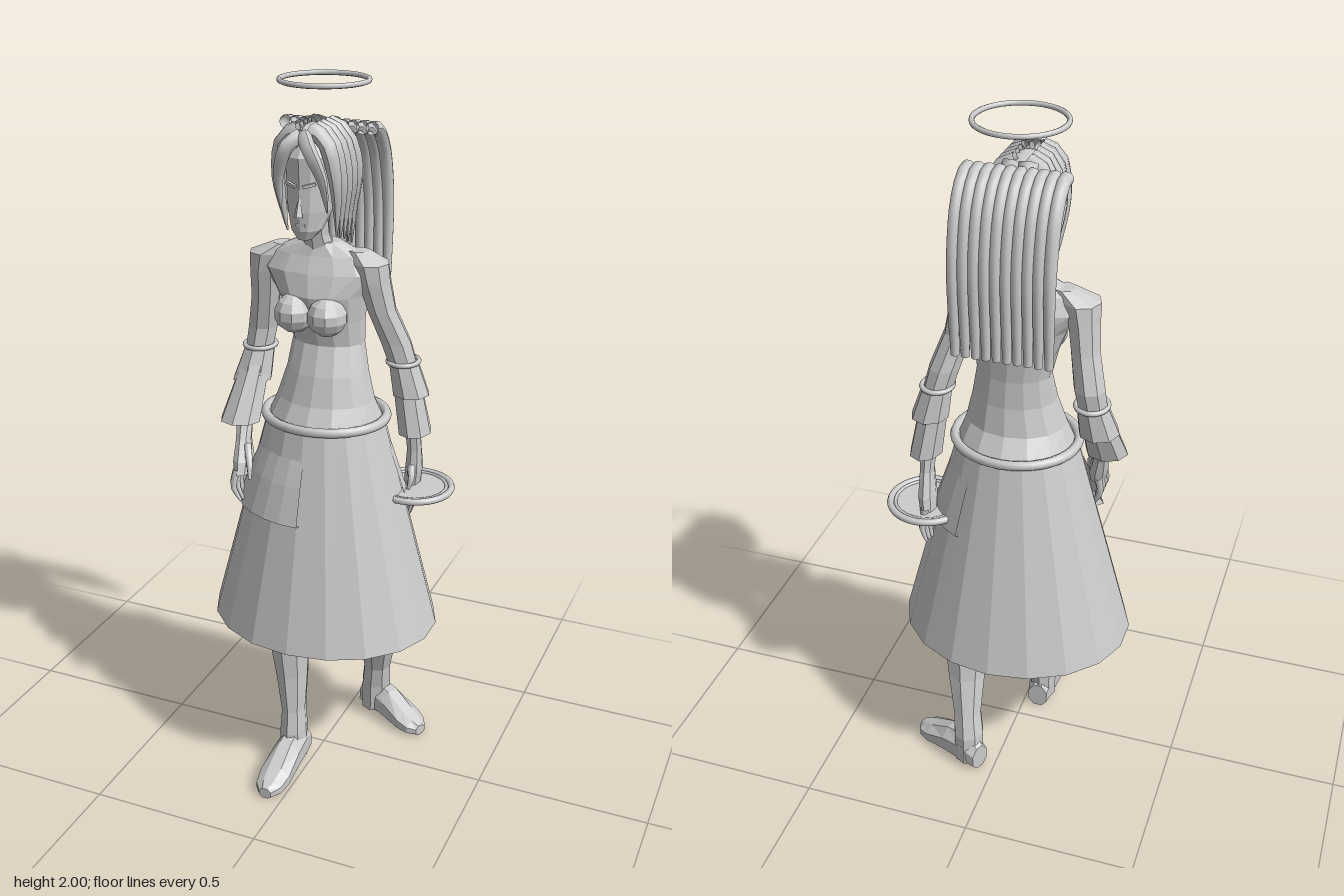
import * as THREE from 'three';

const stone = new THREE.MeshStandardMaterial({ color: 0xcccccc, side: THREE.DoubleSide });
stone.name = 'plain grey';

const V = (p) => new THREE.Vector3(...p);

function add(parent, name, geo) {
  const mesh = new THREE.Mesh(geo, stone);
  mesh.name = name;
  parent.add(mesh);
  return mesh;
}

function facet(geo) {
  const flat = geo.index ? geo.toNonIndexed() : geo;
  flat.computeVertexNormals();
  return flat;
}

// Faceted skin over level elliptical rings [x, y, z, radiusX, radiusZ]
function loft(rings, sides = 10, { cap = true, from = -90, to = 270 } = {}) {
  const rows = rings[0][1] > rings[rings.length - 1][1] ? [...rings].reverse() : rings;
  const pos = [], idx = [], w = sides + 1;
  const put = cap ? [[...rows[0].slice(0, 3), 0, 0], ...rows, [...rows[rows.length - 1].slice(0, 3), 0, 0]] : rows;
  put.forEach(([x, y, z, rx, rz], i) => {
    for (let j = 0; j <= sides; j++) {
      const a = THREE.MathUtils.degToRad(from + (to - from) * j / sides);
      pos.push(x + rx * Math.cos(a), y, z + rz * Math.sin(a));
      if (i && j) {
        const d = i * w + j, c = d - 1, b = d - w, e = b - 1;
        idx.push(e, c, b, b, c, d);
      }
    }
  });
  const geo = new THREE.BufferGeometry();
  geo.setAttribute('position', new THREE.Float32BufferAttribute(pos, 3));
  geo.setIndex(idx);
  return facet(geo);
}

// Rounded strand along a curve, narrowing from r to r * tip
function strand(points, r, tip = 0.1, sides = 7, steps = 10) {
  const curve = new THREE.CatmullRomCurve3(points.map(V));
  const geo = new THREE.TubeGeometry(curve, steps, r, sides);
  const p = geo.attributes.position, v = new THREE.Vector3();
  for (let i = 0; i < p.count; i++) {
    const t = Math.floor(i / (sides + 1)) / steps;
    const c = curve.getPointAt(t);
    v.fromBufferAttribute(p, i).sub(c).multiplyScalar(1 + (tip - 1) * t * t).add(c);
    p.setXYZ(i, v.x, v.y, v.z);
  }
  geo.computeVertexNormals();
  return geo;
}

function ring(parent, name, x, y, z, rx, rz, tube) {
  const geo = new THREE.TorusGeometry(1, tube / rx, 8, 36);
  geo.rotateX(Math.PI / 2).scale(rx, rx, rz);
  add(parent, name, geo).position.set(x, y, z);
}

// Skirt ring at height y, pushed out by extra
function skirtRing(y, extra = 0) {
  const t = (1.08 - y) / 0.63;
  return [-0.012, y, -0.04, 0.168 + 0.168 * t + extra, 0.152 + 0.133 * t + extra];
}

function buildHead(g) {
  const head = new THREE.Group();
  head.name = 'head';
  g.add(head);
  add(head, 'neck', loft([[-0.03, 1.55, -0.045, 0.05, 0.045], [-0.03, 1.6, -0.025, 0.035, 0.037], [-0.03, 1.67, -0.01, 0.035, 0.04]], 8));
  add(head, 'face', loft([
    [-0.03, 1.605, 0.055, 0.02, 0.02], [-0.03, 1.63, 0.04, 0.042, 0.045], [-0.03, 1.68, 0.012, 0.058, 0.078],
    [-0.03, 1.74, 0.002, 0.064, 0.088], [-0.03, 1.82, 0, 0.068, 0.095], [-0.03, 1.87, -0.01, 0.05, 0.075]], 14));
  const nose = add(head, 'nose', facet(new THREE.ConeGeometry(0.013, 0.06, 4)));
  nose.position.set(-0.03, 1.7, 0.093);
  nose.rotation.x = -0.15;
  add(head, 'mouth', new THREE.BoxGeometry(0.026, 0.007, 0.009)).position.set(-0.03, 1.647, 0.082);
  for (const s of [-1, 1]) {
    const brow = add(head, 'brow', new THREE.BoxGeometry(0.034, 0.008, 0.009));
    brow.position.set(-0.03 + s * 0.026, 1.752, 0.086);
    brow.rotation.set(0, s * 0.35, s * 0.25);
  }

  // Hair crown and swept locks on both sides
  const crown = new THREE.SphereGeometry(1, 14, 8, 0, Math.PI * 2, 0, Math.PI * 0.55);
  crown.scale(0.08, 0.105, 0.105).rotateX(-0.45);
  add(head, 'hairCrown', facet(crown)).position.set(-0.03, 1.79, -0.015);
  for (const s of [-1, 1]) {
    const lock = (pts, r) => add(head, 'hairLock', strand(pts.map(([x, y, z]) => [-0.03 + s * x, y, z]), r));
    lock([[0.005, 1.875, 0.07], [0.03, 1.85, 0.1], [0.06, 1.77, 0.085], [0.065, 1.68, 0.06]], 0.02);
    for (let i = 0; i < 5; i++) {
      const k = i / 4;
      lock([[0.015, 1.885, 0.05 - 0.11 * k], [0.055, 1.865, 0.055 - 0.125 * k], [0.079, 1.77, 0.045 - 0.145 * k],
        [0.075 - 0.015 * k, 1.66 - 0.01 * k, 0.02 - 0.15 * k], [0.07 - 0.02 * k, 1.61 - 0.06 * k, 0.01 - 0.155 * k]], 0.023);
    }
    lock([[0.02, 1.88, -0.07], [0.025, 1.83, -0.115], [0.025, 1.7, -0.135], [0.02, 1.57, -0.14]], 0.03);
  }

  // Wide fall of parallel strands behind the head
  for (let i = 0; i < 10; i++) {
    const x = -0.154 + i * 0.0275;
    add(head, 'ponytailStrand', strand([[x, 1.872, -0.1], [x, 1.865, -0.14], [x, 1.81, -0.19], [x, 1.73, -0.218],
      [x, 1.64, -0.232], [x, 1.53, -0.232], [x, 1.42, -0.228]], 0.018, 0.65, 10, 16));
  }
  ring(head, 'halo', -0.03, 1.993, -0.073, 0.117, 0.117, 0.007);
}

function buildArm(g, name, sleeve, upperCuff, lowerCuff, hand, fingers) {
  const arm = new THREE.Group();
  arm.name = name;
  g.add(arm);
  add(arm, 'sleeve', loft(sleeve, 8));
  add(arm, 'upperCuff', loft(upperCuff, 8, { cap: false }));
  add(arm, 'lowerCuff', loft(lowerCuff, 8, { cap: false }));
  const [cx, cy, cz, rx, rz] = upperCuff[0];
  ring(arm, 'cuffBand', cx, cy, cz, rx, rz, 0.007);
  add(arm, 'hand', loft(hand, 8));
  fingers.forEach((f) => add(arm, 'finger', strand(f, 0.0115, 0.4, 6, 5)));
}

function buildLeg(g, name, leg, foot, x, z, turn) {
  const group = new THREE.Group();
  group.name = name;
  g.add(group);
  add(group, 'leg', loft(leg, 8));
  // Foot rings run heel to toe, then are laid forward and flattened on the ground
  const geo = loft(foot.map(([along, w, h]) => [0, along, -h / 2, w, h * 0.62]), 8, { from: -67.5, to: 292.5 });
  geo.rotateX(Math.PI / 2);
  const p = geo.attributes.position;
  for (let i = 0; i < p.count; i++) p.setY(i, Math.max(0, p.getY(i)));
  geo.computeVertexNormals();
  const shoe = add(group, 'foot', geo);
  shoe.position.set(x, 0, z);
  shoe.rotation.y = turn;
}

export function createModel() {
  const g = new THREE.Group();
  g.name = 'haloedWoman';

  // Skirt, with raised folds on the front right and back left
  add(g, 'skirt', loft([skirtRing(1.08), skirtRing(0.45)], 18, { cap: false }));
  add(g, 'skirtHem', loft([skirtRing(0.45), skirtRing(0.46, -0.008)], 18, { cap: false }));
  add(g, 'frontFold', loft([skirtRing(1.0), skirtRing(0.93, 0.012), skirtRing(0.825, 0.022), skirtRing(0.82)], 5, { cap: false, from: 88, to: 150 }));
  add(g, 'backFold', loft([skirtRing(1.0), skirtRing(0.84, 0.012), skirtRing(0.835)], 4, { cap: false, from: -60, to: -5 }));
  ring(g, 'belt', -0.01, 1.085, -0.04, 0.172, 0.155, 0.014);

  // Torso
  add(g, 'torso', loft([
    [-0.01, 1.08, -0.04, 0.165, 0.15], [-0.008, 1.14, -0.035, 0.14, 0.112], [-0.005, 1.22, -0.04, 0.117, 0.093],
    [-0.008, 1.3, -0.055, 0.103, 0.075], [-0.015, 1.37, -0.05, 0.112, 0.085], [-0.025, 1.44, -0.045, 0.13, 0.095],
    [-0.035, 1.5, -0.05, 0.165, 0.08], [-0.035, 1.545, -0.05, 0.14, 0.058], [-0.03, 1.58, -0.045, 0.06, 0.042]], 14));
  for (const s of [-1, 1]) {
    const bust = add(g, 'bust', facet(new THREE.SphereGeometry(1, 10, 7)));
    bust.scale.set(0.056, 0.055, 0.062);
    bust.position.set(-0.027 + s * 0.048, 1.39, 0.025);
  }
  buildHead(g);

  buildArm(g, 'rightArm',
    [[-0.14, 1.56, -0.05, 0.03, 0.03], [-0.185, 1.53, -0.05, 0.054, 0.055], [-0.195, 1.48, -0.055, 0.044, 0.055],
      [-0.205, 1.4, -0.07, 0.04, 0.048], [-0.224, 1.3, -0.09, 0.043, 0.047], [-0.235, 1.22, -0.078, 0.04, 0.044]],
    [[-0.23, 1.245, -0.08, 0.043, 0.048], [-0.245, 1.15, -0.055, 0.057, 0.062]],
    [[-0.235, 1.2, -0.06, 0.042, 0.045], [-0.252, 1.045, 0.015, 0.06, 0.055]],
    [[-0.238, 1.16, -0.04, 0.028, 0.03], [-0.235, 1.05, 0.02, 0.024, 0.025], [-0.228, 1.0, 0.045, 0.022, 0.028],
      [-0.218, 0.95, 0.068, 0.028, 0.04], [-0.215, 0.915, 0.08, 0.024, 0.04]],
    [...[0, 1, 2, 3].map((i) => [[-0.222, 0.93, 0.045 + i * 0.021], [-0.228, 0.88, 0.052 + i * 0.022], [-0.205, 0.825 + i * 0.006, 0.06 + i * 0.02]]),
      [[-0.21, 0.99, 0.06], [-0.185, 0.95, 0.1], [-0.178, 0.91, 0.115]]]);

  buildArm(g, 'leftArm',
    [[0.08, 1.56, -0.05, 0.03, 0.03], [0.115, 1.53, -0.05, 0.05, 0.055], [0.125, 1.48, -0.055, 0.044, 0.055],
      [0.142, 1.4, -0.065, 0.04, 0.047], [0.175, 1.3, -0.095, 0.043, 0.047], [0.197, 1.22, -0.108, 0.04, 0.045]],
    [[0.193, 1.245, -0.105, 0.042, 0.047], [0.215, 1.15, -0.112, 0.053, 0.056]],
    [[0.2, 1.2, -0.11, 0.04, 0.044], [0.228, 1.035, -0.118, 0.046, 0.06]],
    [[0.208, 1.16, -0.11, 0.028, 0.03], [0.222, 1.04, -0.118, 0.023, 0.026], [0.224, 0.98, -0.128, 0.021, 0.027],
      [0.22, 0.91, -0.142, 0.025, 0.04], [0.215, 0.86, -0.148, 0.022, 0.04]],
    [...[0, 1, 2, 3].map((i) => [[0.215, 0.88, -0.115 - i * 0.022], [0.222, 0.82, -0.118 - i * 0.024], [0.208, 0.755 + i * 0.008, -0.125 - i * 0.023]]),
      [[0.222, 0.93, -0.11], [0.23, 0.9, -0.09], [0.225, 0.87, -0.08]]]);

  // Round tray in the left hand
  const tray = new THREE.Group();
  tray.name = 'tray';
  tray.position.set(0.228, 0.865, -0.118);
  g.add(tray);
  add(tray, 'trayDish', new THREE.CylinderGeometry(0.108, 0.085, 0.014, 32)).position.y = -0.005;
  ring(tray, 'trayRim', 0, 0, 0, 0.108, 0.108, 0.01);
  ring(tray, 'trayInnerRim', 0, 0.002, 0, 0.094, 0.094, 0.005);

  // Legs in a walking stance
  buildLeg(g, 'rightLeg',
    [[-0.1, 0.98, 0.02, 0.08, 0.085], [-0.095, 0.7, 0.075, 0.078, 0.08], [-0.075, 0.48, 0.09, 0.066, 0.064], [-0.07, 0.4, 0.092, 0.06, 0.062],
      [-0.062, 0.3, 0.092, 0.048, 0.058], [-0.053, 0.18, 0.103, 0.035, 0.047], [-0.052, 0.11, 0.108, 0.04, 0.052], [-0.05, 0.02, 0.108, 0.04, 0.05]],
    [[-0.05, 0.032, 0.075], [0, 0.042, 0.105], [0.07, 0.045, 0.09], [0.15, 0.05, 0.055], [0.195, 0.042, 0.04], [0.22, 0.02, 0.03]],
    -0.048, 0.105, 0);
  buildLeg(g, 'leftLeg',
    [[0.07, 0.98, -0.06, 0.08, 0.085], [0.1, 0.7, -0.1, 0.085, 0.085], [0.117, 0.48, -0.13, 0.08, 0.072], [0.115, 0.41, -0.145, 0.072, 0.064],
      [0.108, 0.3, -0.17, 0.058, 0.056], [0.093, 0.18, -0.21, 0.042, 0.046], [0.085, 0.11, -0.225, 0.046, 0.05], [0.083, 0.02, -0.23, 0.045, 0.05]],
    [[-0.05, 0.032, 0.075], [0, 0.043, 0.105], [0.07, 0.046, 0.09], [0.14, 0.05, 0.055], [0.175, 0.042, 0.04], [0.197, 0.02, 0.03]],
    0.085, -0.235, 1.12);
  return g;
}
